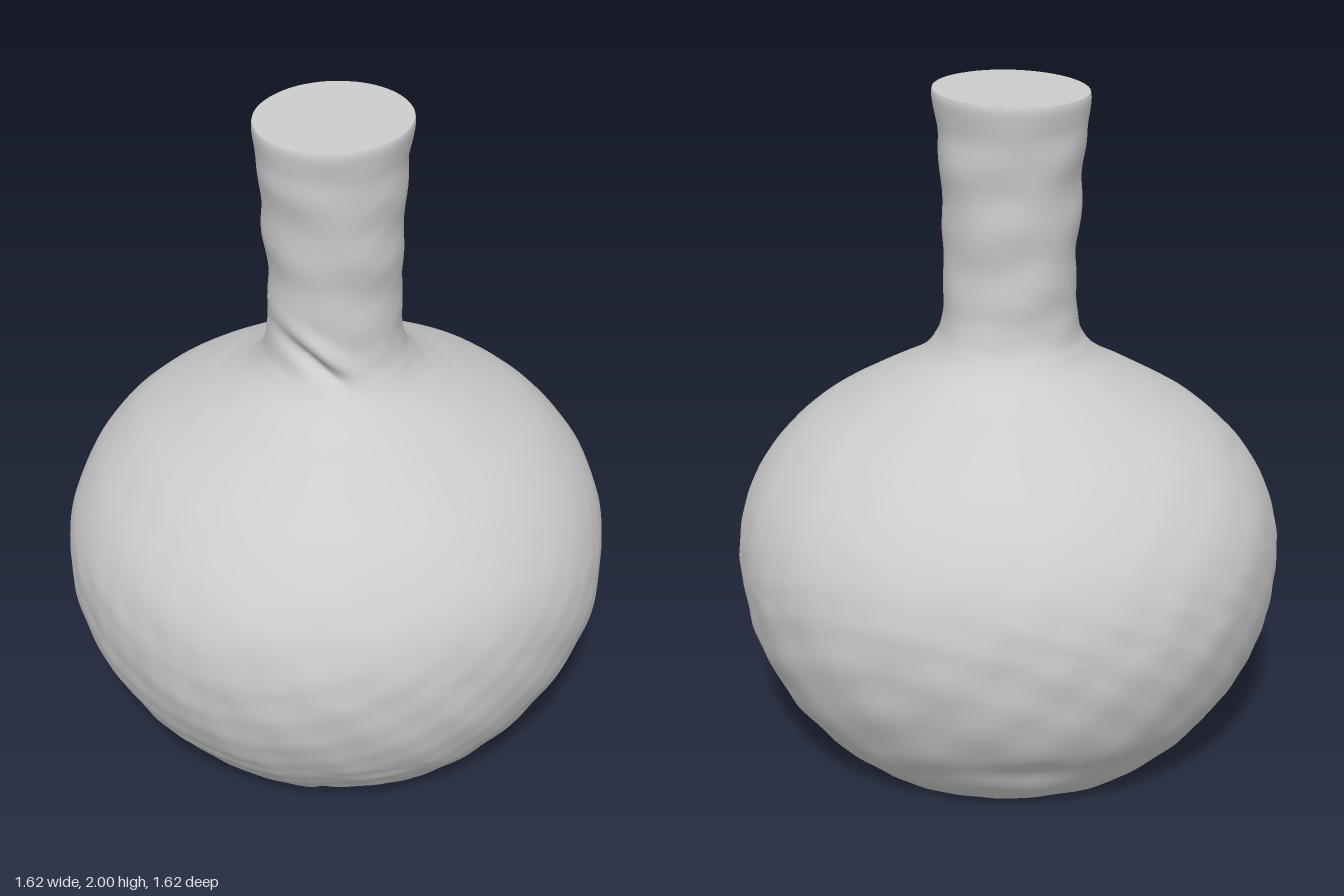
import * as THREE from 'three';
import { mergeVertices } from 'three/addons/utils/BufferGeometryUtils.js';

// Profile as [radius, height], from the open foot up to the lip
const PROFILE = [
  [0.51, 0], [0.565, 0.05], [0.612, 0.1], [0.69, 0.2], [0.745, 0.3], [0.783, 0.4], [0.803, 0.5],
  [0.808, 0.6], [0.797, 0.7], [0.762, 0.8], [0.695, 0.9], [0.59, 1.0], [0.425, 1.1], [0.335, 1.15],
  [0.262, 1.2], [0.222, 1.25], [0.203, 1.3], [0.192, 1.4], [0.19, 1.5], [0.193, 1.6], [0.2, 1.7],
  [0.206, 1.8], [0.215, 1.9], [0.224, 1.97], [0.222, 1.993],
];

const smooth = THREE.MathUtils.smoothstep;
const hump = (d, w) => Math.exp(-(d * d) / (w * w));

// Gentle hand-made unevenness, rougher low on the body
function unevenness(x, y, z) {
  const broad = Math.sin(6 * x + 4 * y + 1) * Math.sin(5 * z - 3 * y) * 0.005;
  const fine = Math.sin(17 * x + 9 * z + 5 * y) * Math.sin(19 * y - 11 * z + 8 * x) * 0.0035;
  const pits = Math.sin(37 * x - 21 * y) * Math.sin(33 * z + 29 * y + 13 * x) * 0.002;
  return broad + fine * (y < 0.6 || y > 1.25 ? 1 : 0.5) + pits * (y < 0.7 ? 1 : 0.4);
}

// Height of the broken foot edge around the front
function chippedEdge(x, z) {
  if (z < 0) return 0;
  const middle = smooth(x, -0.15, -0.11) * (1 - smooth(x, 0.12, 0.17)) * (0.085 + 0.015 * Math.sin(45 * x));
  const side = smooth(x, -0.58, -0.52) * (1 - smooth(x, -0.33, -0.26)) * (0.075 - 0.12 * (x + 0.45));
  return middle + side;
}

function shape(geometry) {
  const p = geometry.attributes.position;
  for (let i = 0; i < p.count; i++) {
    let x = p.getX(i), y = p.getY(i), z = p.getZ(i);
    const r = Math.hypot(x, z);
    if (r > 1e-5) {
      let d = unevenness(x, y, z) * Math.min(1, r / 0.2) * (1 - smooth(y, 1.85, 1.98) * 0.6);
      if (z > 0) {
        // Slanting gouge with a raised ridge where the neck meets the shoulder
        const along = (x + 0.07) * 0.8 - (y - 1.32) * 0.6;
        const across = (x + 0.07) * 0.6 + (y - 1.32) * 0.8;
        d += hump(along, 0.1) * (0.02 * hump(across - 0.035, 0.025) - 0.026 * hump(across + 0.015, 0.022));
      } else {
        // Worn patch low on the back
        d -= 0.02 * hump(x - 0.1, 0.18) * hump(y - 0.17, 0.05);
      }
      // Shallow finger grooves on the neck
      d += 0.003 * Math.sin(32 * y + 3 * x) * smooth(y, 1.3, 1.4) * (1 - smooth(y, 1.85, 1.95));
      x *= (r + d) / r;
      z *= (r + d) / r;
    }
    // The neck leans slightly to one side and the lip is not quite level
    x -= 0.011 * smooth(y, 1.05, 1.35);
    y += (0.03 * x - 0.002) * smooth(y, 1.75, 1.99);
    p.setXYZ(i, x, y, z);
  }
  const welded = mergeVertices(geometry, 1e-4);
  welded.computeVertexNormals();
  return welded;
}

function lathe(points, segments) {
  const g = new THREE.LatheGeometry(points, segments);
  g.deleteAttribute('uv');
  g.deleteAttribute('normal');
  return g;
}

export function createModel() {
  const group = new THREE.Group();
  group.name = 'bottleVase';
  const material = new THREE.MeshStandardMaterial({ color: 0xcccccc, roughness: 0.9, side: THREE.DoubleSide });

  // Round body and neck in one continuous wall, open underneath
  const curve = new THREE.SplineCurve(PROFILE.map(([r, y]) => new THREE.Vector2(r, y)));
  const wallGeometry = lathe(curve.getPoints(150), 200);

  // Lift the lowest rows along the surface to form the chipped foot
  const p = wallGeometry.attributes.position;
  for (let i = 0; i < p.count; i++) {
    const x = p.getX(i), y = p.getY(i), z = p.getZ(i);
    const edge = chippedEdge(x, z);
    if (y < 0.25 && edge > 0) {
      const lifted = edge + y * (1 - edge / 0.25);
      const radiusAt = (h) => {
        const k = PROFILE.findIndex((q) => q[1] > h);
        const [r0, y0] = PROFILE[k - 1], [r1, y1] = PROFILE[k];
        return r0 + ((r1 - r0) * (h - y0)) / (y1 - y0);
      };
      const s = radiusAt(lifted) / Math.hypot(x, z);
      p.setXYZ(i, x * s, lifted, z * s);
    }
  }
  const wall = new THREE.Mesh(shape(wallGeometry), material);
  wall.name = 'bodyAndNeck';
  group.add(wall);

  // Closed, nearly flat top of the neck
  const [lipRadius, lipHeight] = PROFILE[PROFILE.length - 1];
  const lid = [lipRadius, 0.15, 0.07, 0].map((r) => new THREE.Vector2(r, lipHeight));
  const top = new THREE.Mesh(shape(lathe(lid, 200)), material);
  top.name = 'neckTop';
  group.add(top);

  return group;
}
